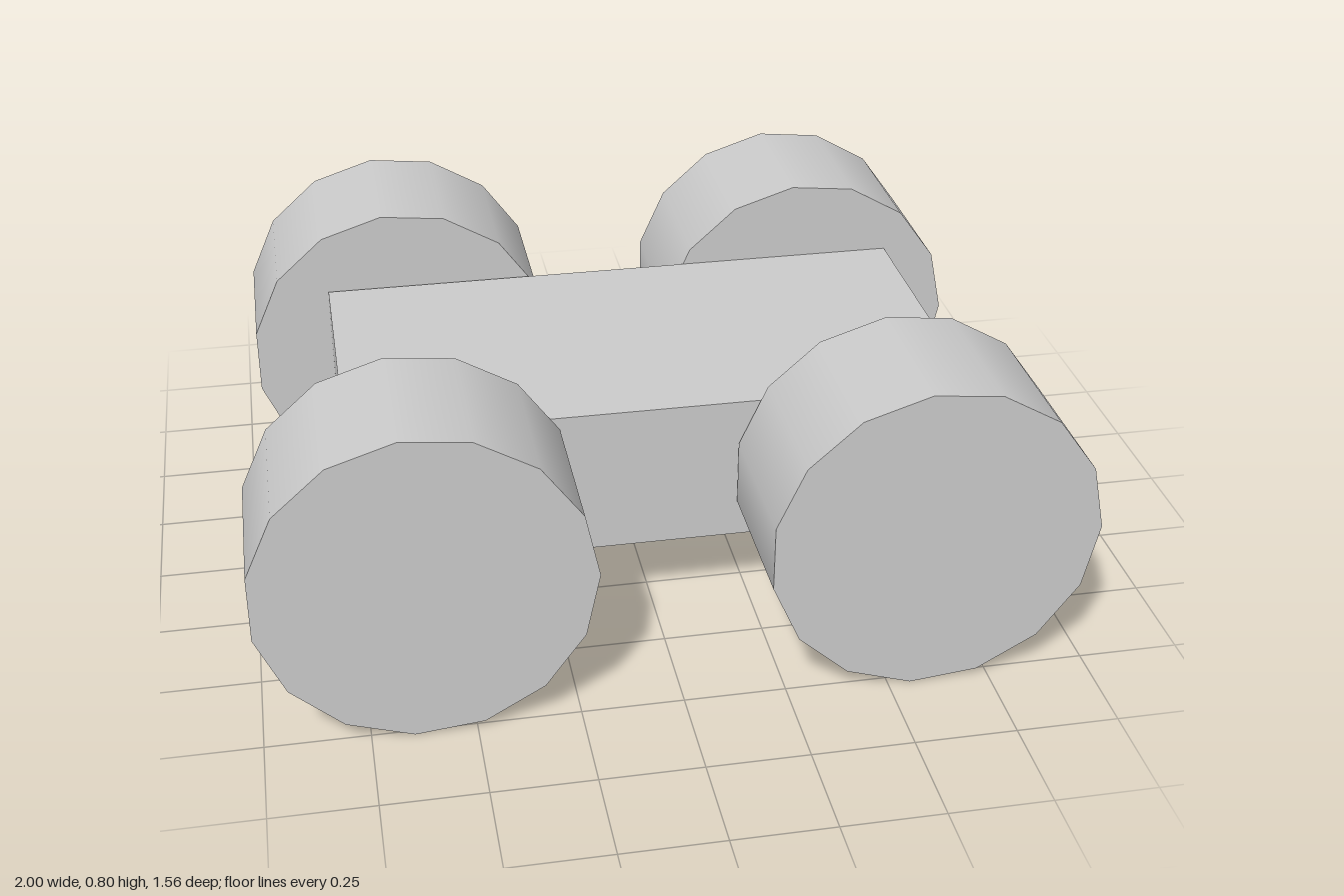
import * as THREE from 'three';

export function createModel() {
  const model = new THREE.Group();
  const material = new THREE.MeshStandardMaterial({ color: 0xcccccc });

  // Plain box chassis between the wheels
  const body = new THREE.Mesh(new THREE.BoxGeometry(1.54, 0.382, 0.768), material);
  body.name = 'body';
  body.position.set(0.02, 0.406, -0.004);
  model.add(body);

  // Fifteen-sided wheels with smooth treads, axle along z and one corner at +x
  const wheelGeometry = new THREE.CylinderGeometry(0.403, 0.403, 0.386, 15);
  wheelGeometry.rotateY(Math.PI / 2).rotateX(Math.PI / 2);

  // The four wheels sit slightly unevenly around the body
  const wheels = [
    ['frontRightWheel', -0.606, 0.572],
    ['frontLeftWheel', 0.597, 0.582],
    ['backRightWheel', -0.557, -0.587],
    ['backLeftWheel', 0.563, -0.582],
  ];
  for (const [name, x, z] of wheels) {
    const wheel = new THREE.Mesh(wheelGeometry, material);
    wheel.name = name;
    wheel.position.set(x, 0.401, z);
    model.add(wheel);
  }

  return model;
}
